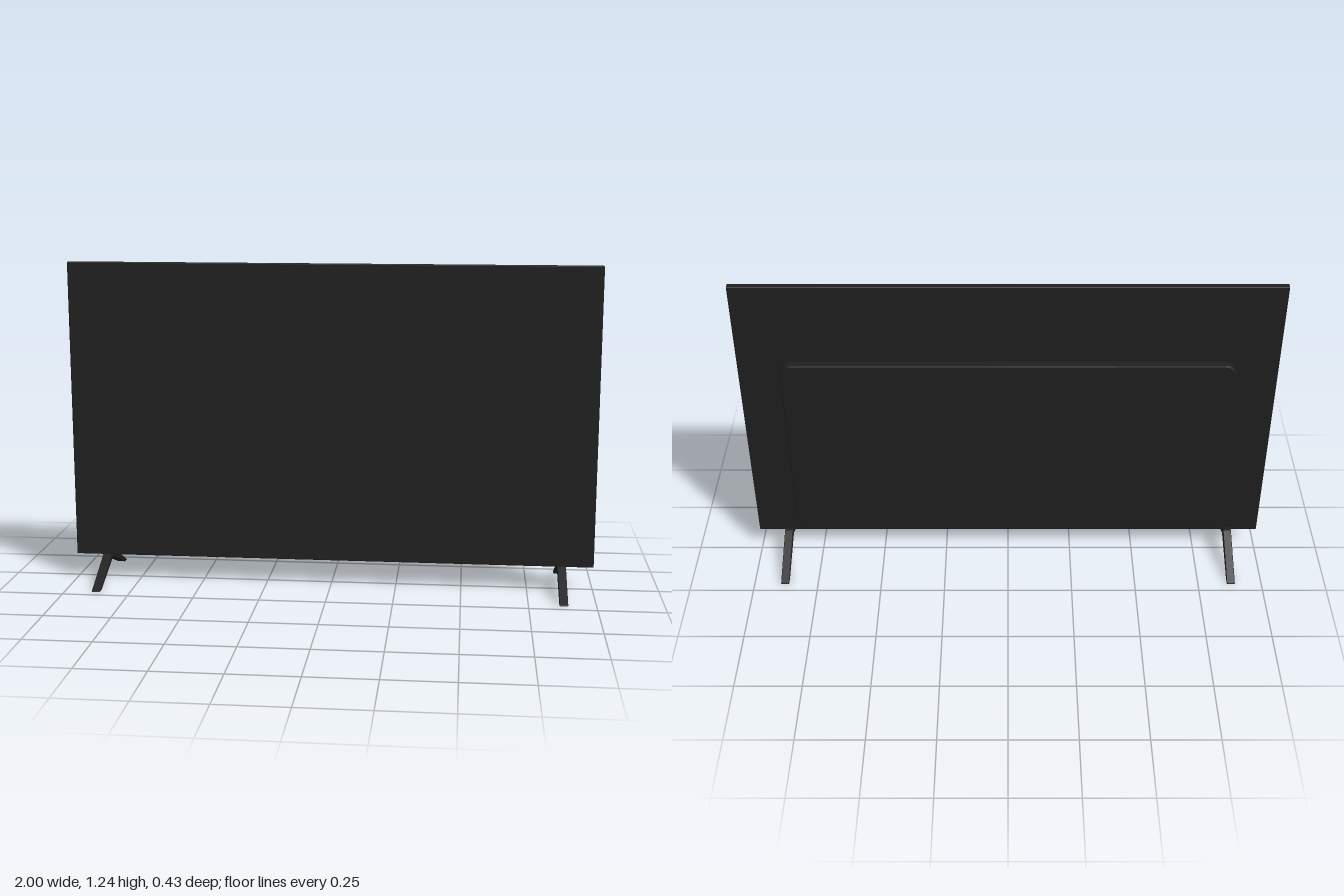
import * as THREE from 'three';
import { RoundedBoxGeometry } from 'three/addons/geometries/RoundedBoxGeometry.js';

const frameMat = new THREE.MeshStandardMaterial({ color: 0x1f1f20 });
frameMat.name = 'frame black';
const screenMat = new THREE.MeshStandardMaterial({ color: 0x212121 });
screenMat.name = 'screen black';

function add(group, name, geometry, material, x, y, z) {
  const mesh = new THREE.Mesh(geometry, material);
  mesh.name = name;
  mesh.position.set(x, y, z);
  group.add(mesh);
  return mesh;
}

// Rectangle with rounded corners, centred on the origin
function roundedRect(w, h, r) {
  const s = new THREE.Shape();
  const x = w / 2 - r, y = h / 2 - r;
  s.absarc(x, y, r, 0, Math.PI / 2);
  s.absarc(-x, y, r, Math.PI / 2, Math.PI);
  s.absarc(-x, -y, r, Math.PI, Math.PI * 1.5);
  s.absarc(x, -y, r, Math.PI * 1.5, Math.PI * 2);
  s.closePath();
  return s;
}

export function createModel() {
  const model = new THREE.Group();
  model.name = 'television';

  // Thin panel with slightly softened edges, and the glass on its front
  add(model, 'panel', new RoundedBoxGeometry(2, 1.14, 0.025, 2, 0.003), frameMat, 0, 0.665, 0.0175);
  add(model, 'screen', new THREE.BoxGeometry(1.985, 1.125, 0.002), screenMat, 0, 0.665, 0.0295);

  // Raised electronics housing on the back, bevelled at its rear edge
  const b = 0.005;
  const housing = new THREE.ExtrudeGeometry(roundedRect(1.68 - 2 * b, 0.755 - 2 * b, 0.035), {
    depth: 0.03, bevelEnabled: true, bevelThickness: b, bevelSize: b, bevelSegments: 2, curveSegments: 8,
  });
  add(model, 'backHousing', housing, frameMat, 0, 0.5375, -0.022);

  // Splayed feet: an inverted V in side profile, extruded across the width
  const profile = new THREE.Shape([
    [-0.215, 0], [-0.19, 0], [0, 0.078], [0.19, 0], [0.215, 0], [0.213, 0.005], [0.015, 0.105], [-0.015, 0.105], [-0.213, 0.005],
  ].map(([z, y]) => new THREE.Vector2(z, y)));
  const footGeo = new THREE.ExtrudeGeometry(profile, {
    depth: 0.028, bevelEnabled: true, bevelThickness: 0.002, bevelSize: 0.002, bevelOffset: -0.002, bevelSegments: 1,
  });
  footGeo.translate(0, 0, -0.014).rotateY(Math.PI / 2);
  for (const side of [1, -1]) {
    add(model, side > 0 ? 'leftFoot' : 'rightFoot', footGeo, frameMat, side * 0.88, 0, 0);
  }
  return model;
}
